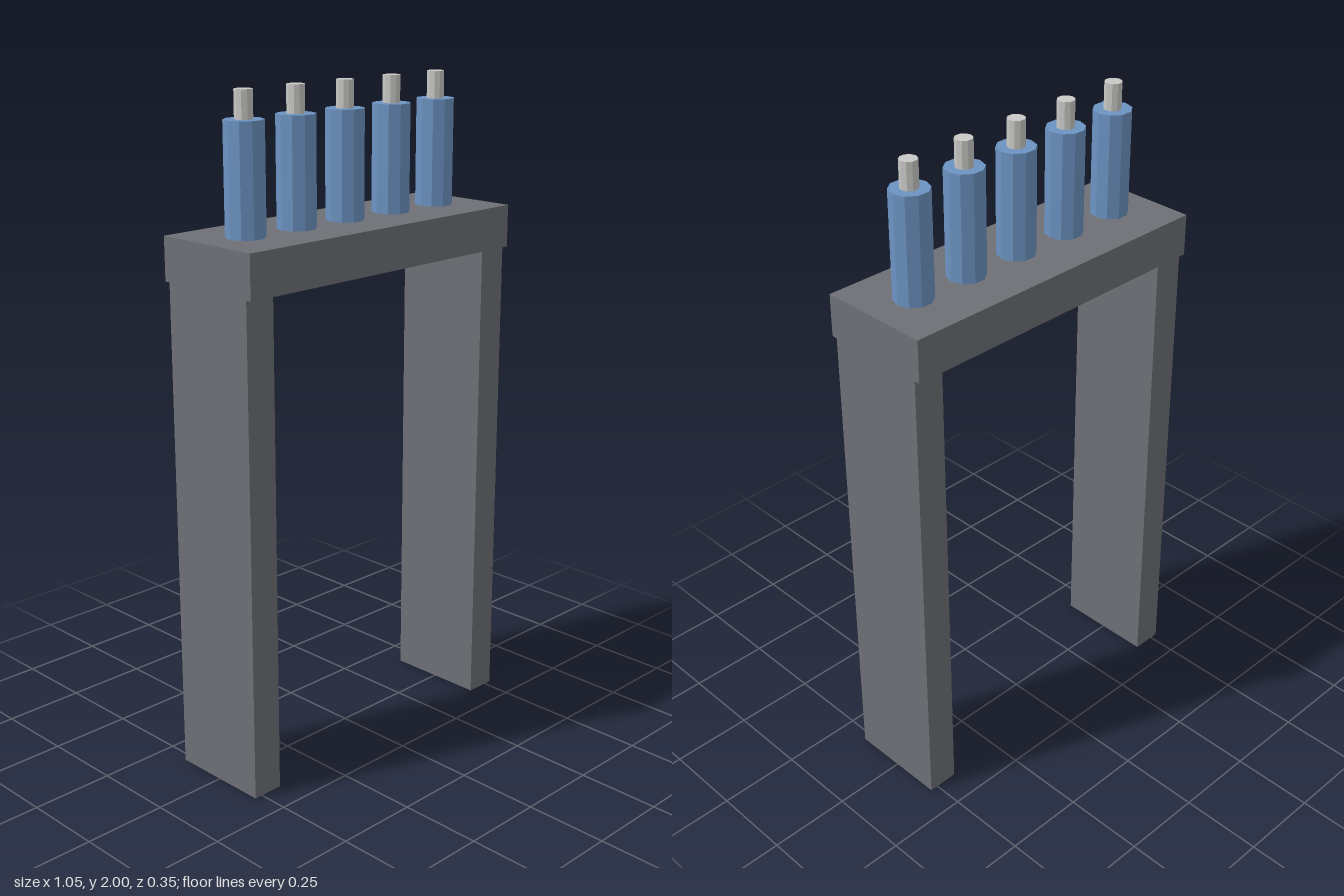
import * as THREE from 'three';

export function createModel() {
  const model = new THREE.Group();
  const grey = new THREE.MeshStandardMaterial({ color: 0x6e7076, flatShading: true });
  grey.name = 'slate grey';
  const blue = new THREE.MeshStandardMaterial({ color: 0x6c93c2, flatShading: true });
  blue.name = 'steel blue';
  const silver = new THREE.MeshStandardMaterial({ color: 0xc8c8c6, flatShading: true });
  silver.name = 'light silver';

  const add = (name, geometry, material, x, y) => {
    const mesh = new THREE.Mesh(geometry, material);
    mesh.name = name;
    mesh.position.set(x, y, 0);
    model.add(mesh);
  };

  // Beam across the top
  const beamBottom = 1.474, beamTop = 1.602;
  add('beam', new THREE.BoxGeometry(1.05, beamTop - beamBottom, 0.351), grey, 0, (beamTop + beamBottom) / 2);

  // Two slab legs, flush with the beam ends
  const leg = new THREE.BoxGeometry(0.096, beamBottom, 0.316);
  add('leftLeg', leg, grey, 0.477, beamBottom / 2);
  add('rightLeg', leg, grey, -0.477, beamBottom / 2);

  // Row of five ten-sided posts, each with a thin pin on top
  const postTop = 1.92;
  const post = new THREE.CylinderGeometry(0.057, 0.057, postTop - beamTop, 10).rotateY(Math.PI / 2);
  const pin = new THREE.CylinderGeometry(0.026, 0.026, 2 - postTop, 10).rotateY(Math.PI / 2);
  for (let i = -2; i <= 2; i++) {
    const x = i * 0.191;
    add('post' + (i + 3), post, blue, x, (postTop + beamTop) / 2);
    add('pin' + (i + 3), pin, silver, x, (postTop + 2) / 2);
  }
  return model;
}
